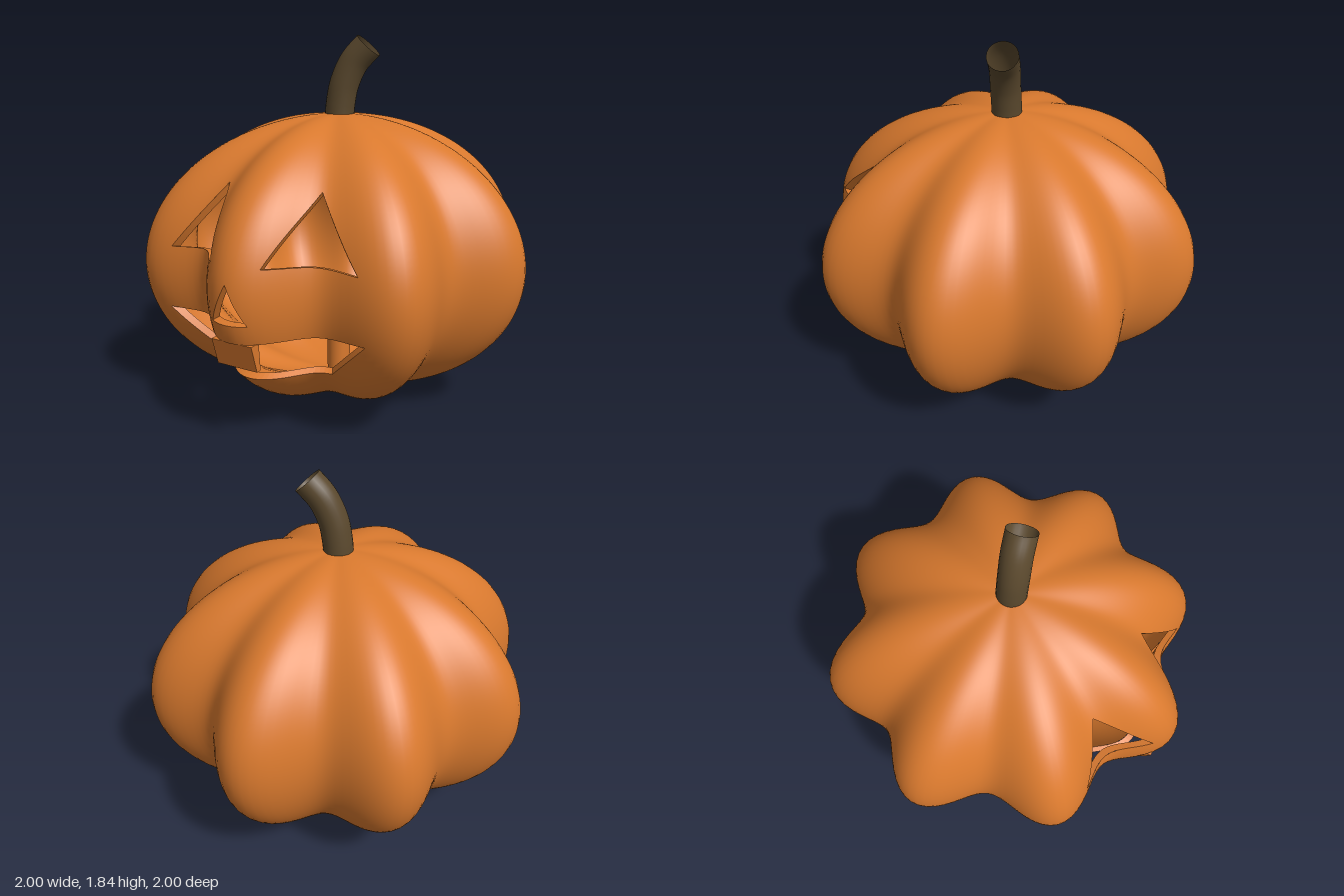
import * as THREE from 'three';

const H = 0.725, CY = 0.73, INNER = 0.955; // half height, centre height, inner shell scale
const lobe = (t) => 0.91 + 0.09 * Math.cos(8 * t);

// Ribbed ellipsoid around the origin: point, normal and front depth
function surfacePoint(t, phi) {
  const r = lobe(t) * Math.cos(phi);
  return new THREE.Vector3(r * Math.sin(t), H * Math.sin(phi), r * Math.cos(t));
}
function surfaceNormal(p) {
  const rho = Math.hypot(p.x, p.z), t = Math.atan2(p.x, p.z), R = lobe(t);
  const radial = rho / (R * R), tangent = (rho * 0.72 * Math.sin(8 * t)) / R ** 3;
  return new THREE.Vector3(
    radial * Math.sin(t) + tangent * Math.cos(t),
    p.y / (H * H),
    radial * Math.cos(t) - tangent * Math.sin(t)
  ).normalize();
}
function frontPoint(x, y) {
  let lo = 0.3, hi = 1.1;
  for (let i = 0; i < 30; i++) {
    const z = (lo + hi) / 2;
    const f = (Math.hypot(x, z) / lobe(Math.atan2(x, z))) ** 2 + (y / H) ** 2;
    if (f > 1) hi = z; else lo = z;
  }
  return new THREE.Vector3(x, y, lo);
}

// Carved openings, counter-clockwise in x and y
const holes = [
  [[0.13, 0.885], [0.5, 0.86], [0.25, 1.17]],
  [[-0.13, 0.885], [-0.25, 1.17], [-0.5, 0.86]],
  [[-0.09, 0.64], [0.09, 0.64], [0, 0.82]],
  [[-0.31, 0.335], [0.31, 0.335], [0.53, 0.55], [-0.53, 0.55]],
].map((h) => h.map(([x, y]) => [x, y - CY]));

// Keep the part of a polygon on one side of the line a-b
function clip(poly, a, b, sign) {
  const side = (p) => sign * ((b[0] - a[0]) * (p.y - a[1]) - (b[1] - a[1]) * (p.x - a[0]));
  const out = [];
  poly.forEach((p, i) => {
    const q = poly[(i + 1) % poly.length], dp = side(p), dq = side(q);
    if (dp >= 0) out.push(p);
    if ((dp > 0 && dq < 0) || (dp < 0 && dq > 0)) out.push(p.clone().lerp(q, dp / (dp - dq)));
  });
  return out.length > 2 ? out : [];
}
function subtract(poly, hole) {
  const edges = hole.map((a, i) => [a, hole[(i + 1) % hole.length]]);
  let inside = poly;
  const pieces = [];
  for (const [a, b] of edges) {
    const outer = clip(inside, a, b, -1);
    if (outer.length) pieces.push(outer);
    inside = clip(inside, a, b, 1);
    if (!inside.length) return [poly];
  }
  return pieces;
}

function makeGeometry(positions, normals) {
  const g = new THREE.BufferGeometry();
  g.setAttribute('position', new THREE.Float32BufferAttribute(positions, 3));
  if (normals) g.setAttribute('normal', new THREE.Float32BufferAttribute(normals, 3));
  else g.computeVertexNormals();
  return g;
}

// Outer skin, or the scaled inner skin facing inwards
function skin(scale, inward) {
  const U = 160, V = 72, pos = [], nor = [];
  const at = (i, j) => surfacePoint(((i % U) / U) * Math.PI * 2, (j / V - 0.5) * Math.PI);
  for (let i = 0; i < U; i++) for (let j = 0; j < V; j++) {
    const a = at(i, j), b = at(i + 1, j), c = at(i + 1, j + 1), d = at(i, j + 1);
    const tris = [];
    if (j > 0) tris.push([a, b, c]);
    if (j < V - 1) tris.push([a, c, d]);
    if (j === 0) tris[0] = [a, c, d];
    for (const tri of tris) {
      let polys = [tri];
      if (a.z > 0.2) for (const h of holes) polys = polys.flatMap((p) => subtract(p, h));
      for (const p of polys) for (let k = 1; k < p.length - 1; k++) {
        const corners = inward ? [p[0], p[k + 1], p[k]] : [p[0], p[k], p[k + 1]];
        for (const v of corners) {
          const n = surfaceNormal(v).multiplyScalar(inward ? -1 : 1);
          pos.push(v.x * scale, v.y * scale, v.z * scale);
          nor.push(n.x, n.y, n.z);
        }
      }
    }
  }
  return makeGeometry(pos, nor);
}

// Cut faces joining the outer and inner skins around an opening
function rim(hole) {
  const N = 32, pos = [];
  hole.forEach((a, e) => {
    const b = hole[(e + 1) % hole.length];
    const at = (s) => frontPoint(a[0] + (b[0] - a[0]) * s, a[1] + (b[1] - a[1]) * s);
    for (let i = 0; i < N; i++) {
      const p = at(i / N), q = at((i + 1) / N);
      const pi = p.clone().multiplyScalar(INNER), qi = q.clone().multiplyScalar(INNER);
      for (const v of [p, q, qi, p, qi, pi]) pos.push(v.x, v.y, v.z);
    }
  });
  return makeGeometry(pos);
}

export function createModel() {
  const group = new THREE.Group();
  const orange = new THREE.MeshStandardMaterial({ color: 0xd9792e });
  orange.name = 'pumpkinOrange';
  const brown = new THREE.MeshStandardMaterial({ color: 0x5a482d, side: THREE.DoubleSide });
  brown.name = 'stemBrown';
  const add = (name, geometry, material, y = 0) => {
    const mesh = new THREE.Mesh(geometry, material);
    mesh.name = name;
    mesh.position.y = y;
    group.add(mesh);
    return mesh;
  };

  // Hollow carved body
  add('outerSkin', skin(1, false), orange, CY);
  add('innerSkin', skin(INNER, true), orange, CY);
  const rimNames = ['leftEyeRim', 'rightEyeRim', 'noseRim', 'mouthRim'];
  holes.forEach((h, i) => add(rimNames[i], rim(h), orange, CY));

  // Upper tooth: tapered slab drawn in side profile, extruded across x
  const profile = new THREE.Shape([[0.96, 0.55], [0.922, 0.42], [0.895, 0.42], [0.905, 0.55]]
    .map(([z, y]) => new THREE.Vector2(-z, y)));
  const tooth = new THREE.ExtrudeGeometry(profile, { depth: 0.21, bevelEnabled: false });
  tooth.translate(0, 0, -0.105).rotateY(Math.PI / 2);
  add('tooth', tooth, orange);

  // Candle standing inside
  add('candle', new THREE.CylinderGeometry(0.062, 0.062, 0.46, 32), orange, 0.27);

  // Bent open stem
  const path = new THREE.CatmullRomCurve3([
    new THREE.Vector3(0.003, 1.43, 0),
    new THREE.Vector3(0.01, 1.5, 0),
    new THREE.Vector3(0.03, 1.6, -0.003),
    new THREE.Vector3(0.078, 1.71, -0.017),
    new THREE.Vector3(0.15, 1.792, -0.035),
  ]);
  add('stem', new THREE.TubeGeometry(path, 24, 0.075, 24), brown);
  return group;
}
